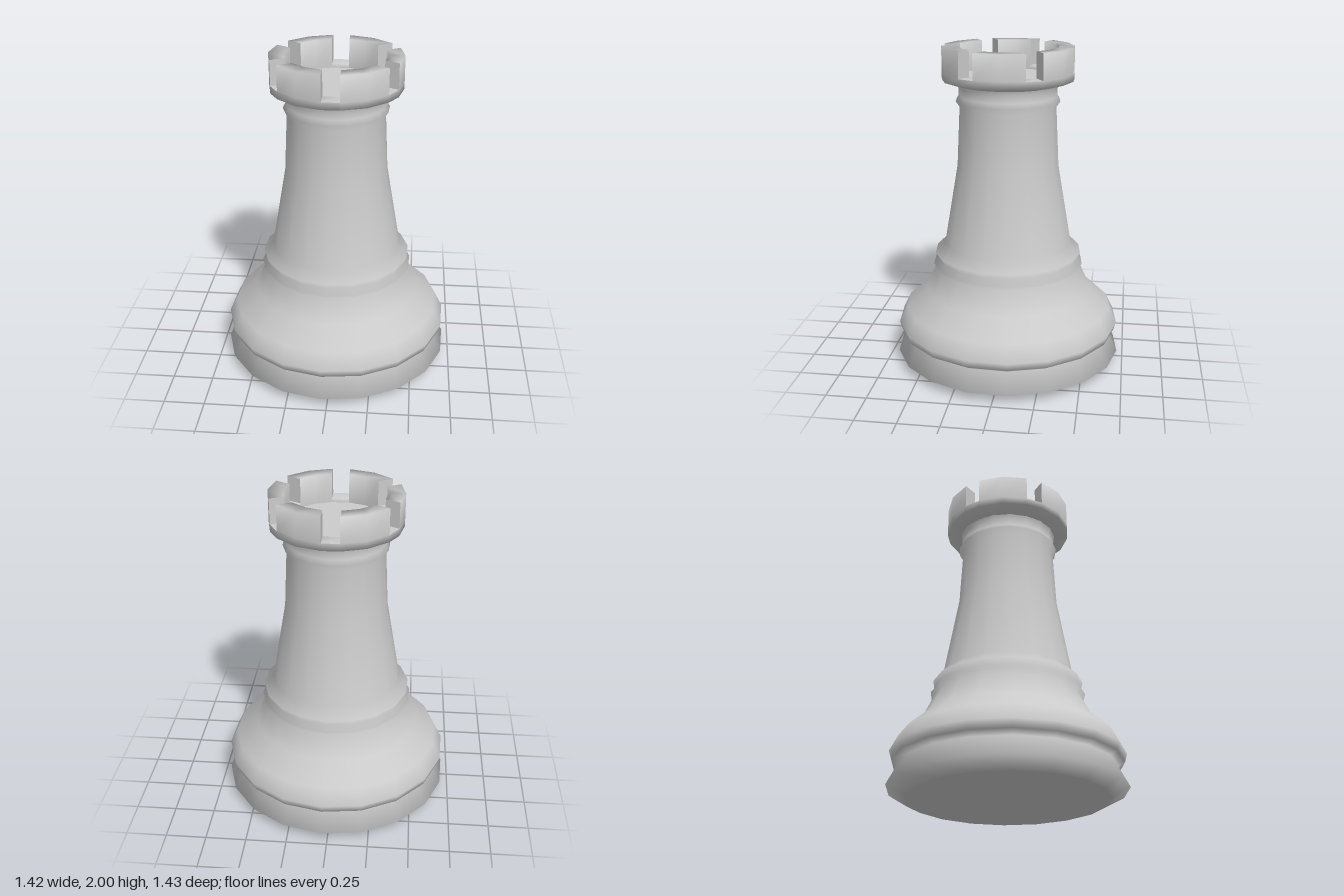
import * as THREE from 'three';
import { mergeGeometries } from 'three/addons/utils/BufferGeometryUtils.js';

const SIDES = 18;
const PHASE = THREE.MathUtils.degToRad(-2.8);
const material = new THREE.MeshStandardMaterial({ color: 0xcccccc });

// Turned surface through [radius, height] points
function turned(name, points) {
  const profile = points.map(([r, y]) => new THREE.Vector2(r, y));
  const mesh = new THREE.Mesh(new THREE.LatheGeometry(profile, SIDES, PHASE), material);
  mesh.name = name;
  return mesh;
}

// Point on a circle, angle in degrees measured from +z towards +x
function polar(deg, r, y) {
  const a = THREE.MathUtils.degToRad(deg);
  return [r * Math.sin(a), y, r * Math.cos(a)];
}

// Smooth grid surface through columns of points
function patch(columns) {
  const n = columns[0].length;
  const index = [];
  for (let u = 0; u < columns.length - 1; u++) {
    for (let v = 0; v < n - 1; v++) {
      const a = u * n + v, b = a + n;
      index.push(a, b, b + 1, a, b + 1, a + 1);
    }
  }
  const geometry = new THREE.BufferGeometry();
  geometry.setAttribute('position', new THREE.Float32BufferAttribute(columns.flat(2), 3));
  geometry.setIndex(index);
  geometry.computeVertexNormals();
  return geometry;
}

export function createModel() {
  const group = new THREE.Group();
  const add = (name, geometry) => {
    const mesh = new THREE.Mesh(geometry, material);
    mesh.name = name;
    group.add(mesh);
    return mesh;
  };

  // Underside, then base, collar rings and tapering shaft in one profile
  group.add(turned('underside', [[0, 0], [0.61, 0]]));
  group.add(turned('body', [
    [0.61, 0], [0.715, 0.055], [0.65, 0.18], [0.69, 0.205], [0.705, 0.255],
    [0.655, 0.355], [0.525, 0.47], [0.455, 0.615], [0.475, 0.64], [0.445, 0.68],
    [0.462, 0.715], [0.402, 0.775], [0.315, 1.28], [0.297, 1.64], [0.32, 1.675],
    [0.302, 1.705], [0.302, 1.755], [0.315, 1.785],
  ]));

  // Crown: sizes and the angles where the notches cut it
  const OUT = 0.4, IN = 0.305, TOP = 2, NOTCH = 1.845, FLOOR = 1.82;
  const outer = [7.6, 30, 52.4], inner = [10, 30, 50];

  // Flared ring below the notches
  const ringAngles = [];
  for (let k = 0; k < 6; k++) ringAngles.push(...outer.map(a => a + 60 * k));
  ringAngles.push(outer[0] + 360);
  add('crownRing', patch(ringAngles.map(a => [
    polar(a, 0.31, 1.775), polar(a, OUT, 1.8), polar(a, OUT, NOTCH),
  ])));
  group.add(turned('crownFloor', [[0.31, FLOOR], [0, FLOOR]]));

  // One battlement: curved block with two flat ends
  const end = i => [
    [polar(inner[i], IN, NOTCH), polar(inner[i], IN, TOP)],
    [polar(outer[i], OUT, NOTCH), polar(outer[i], OUT, TOP)],
  ];
  const battlement = mergeGeometries([
    patch(outer.map((a, i) => [
      polar(a, OUT, NOTCH), polar(a, OUT, TOP),
      polar(inner[i], IN, TOP), polar(inner[i], IN, FLOOR),
    ])),
    patch(end(0)),
    patch(end(2).reverse()),
  ]);

  // One notch: its sill and the short drop to the floor
  const notch = patch([-1, 1].map(s => [
    polar(s * outer[0], OUT, NOTCH), polar(s * inner[0], IN, NOTCH), polar(s * inner[0], IN, FLOOR),
  ]));

  for (let k = 0; k < 6; k++) {
    add('battlement', battlement).rotation.y = k * Math.PI / 3;
    add('notch', notch).rotation.y = k * Math.PI / 3;
  }
  return group;
}
